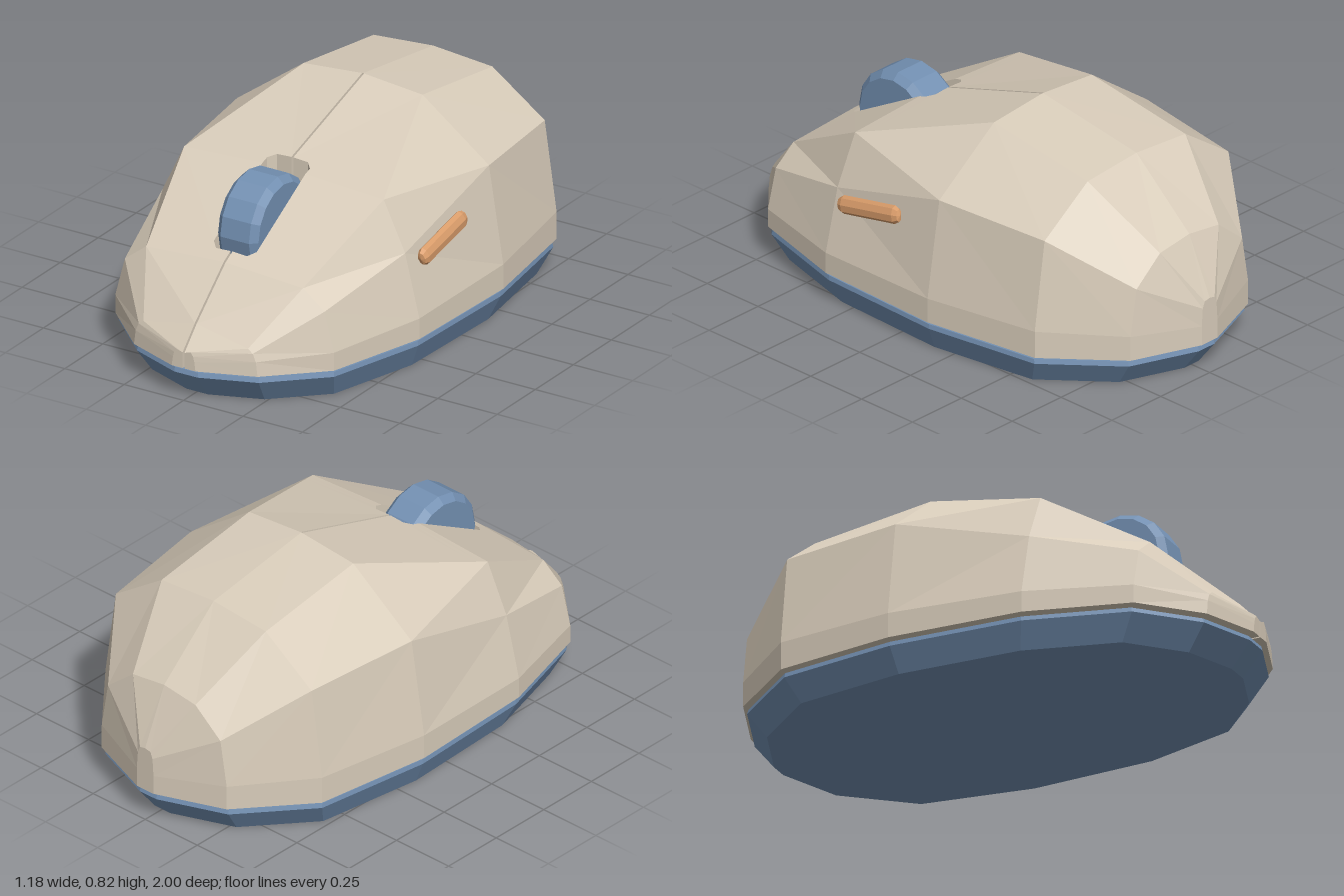
import * as THREE from 'three';

const paint = (name, color, side = THREE.FrontSide) => {
  const m = new THREE.MeshStandardMaterial({ color, side, flatShading: true });
  m.name = name;
  return m;
};

// Collects triangles, optionally with their mirror image in x.
function builder(mirror) {
  const pos = [];
  const tri = (a, b, c) => {
    pos.push(...a, ...b, ...c);
    if (mirror) for (const p of [a, c, b]) pos.push(-p[0], p[1], p[2]);
  };
  const quad = (a, b, c, d) => { tri(a, b, d); tri(b, c, d); };
  const geometry = () => {
    const g = new THREE.BufferGeometry();
    g.setAttribute('position', new THREE.Float32BufferAttribute(pos, 3));
    g.computeVertexNormals();
    return g;
  };
  return { tri, quad, geometry };
}

const FLOOR = 0.125;
const GAP = 0.004;

// Half cross-sections, rear to front: z, ridge height, then shoulder, middle and low points, foot width
const SECTIONS = [
  { z: -1.0, top: 0.30, pts: [[0.025, 0.295], [0.035, 0.27], [0.04, 0.2]], w: 0.04 },
  { z: -0.9, top: 0.52, pts: [[0.15, 0.5], [0.27, 0.4], [0.3, 0.22]], w: 0.3 },
  { z: -0.64, top: 0.75, pts: [[0.25, 0.73], [0.47, 0.575], [0.52, 0.23]], w: 0.52 },
  { z: -0.18, top: 0.82, pts: [[0.25, 0.798], [0.53, 0.592], [0.59, 0.22]], w: 0.59 },
  { z: 0.34, top: 0.655, pts: [[0.42, 0.632], [0.51, 0.445], [0.57, 0.205]], w: 0.57 },
  { z: 0.73, top: 0.435, pts: [[0.33, 0.415], [0.42, 0.345], [0.46, 0.195]], w: 0.46 },
  { z: 0.92, top: 0.27, pts: [[0.22, 0.225], [0.24, 0.21], [0.253, 0.18]], w: 0.26 },
  { z: 1.0, top: 0.185, pts: [[0.03, 0.195], [0.04, 0.18], [0.045, 0.16]], w: 0.05 },
];

// Inner edge of each top half (z, x): ridge, button gap, wheel slot, gap
const INNER = [
  [-1, 0], [-0.9, 0], [-0.64, 0], [-0.18, 0], [-0.18, GAP], [0.285, GAP], [0.285, 0.065], [0.31, 0.09],
  [0.34, 0.09], [0.66, 0.09], [0.685, 0.065], [0.685, GAP], [0.73, GAP], [0.92, GAP], [1, GAP],
];

// Ridge height, shoulder and foot width at any z
function sectionAt(z) {
  let i = 0;
  while (i < SECTIONS.length - 2 && z > SECTIONS[i + 1].z) i++;
  const a = SECTIONS[i], b = SECTIONS[i + 1], t = (z - a.z) / (b.z - a.z);
  const mix = (p, q) => p + (q - p) * t;
  return {
    top: mix(a.top, b.top), w: mix(a.w, b.w),
    sx: mix(a.pts[0][0], b.pts[0][0]), sy: mix(a.pts[0][1], b.pts[0][1]),
  };
}

function shellGeometry() {
  const { tri, quad, geometry } = builder(true);
  // sides, from shoulder to foot
  const rows = SECTIONS.map(s => [...s.pts, [s.w, FLOOR]].map(([x, y]) => [x, y, s.z]));
  for (let i = 0; i < rows.length - 1; i++)
    for (let j = 0; j < 3; j++)
      quad(rows[i][j], rows[i + 1][j], rows[i + 1][j + 1], rows[i][j + 1]);
  // top, slot walls and underside
  const edge = INNER.map(([z, x]) => {
    const s = sectionAt(z);
    return {
      inner: [x, s.top + (s.sy - s.top) * x / s.sx, z], shoulder: [s.sx, s.sy, z],
      under: [x, FLOOR, z], foot: [s.w, FLOOR, z],
    };
  });
  for (let i = 0; i < edge.length - 1; i++) {
    const a = edge[i], b = edge[i + 1];
    quad(a.inner, b.inner, b.shoulder, a.shoulder);
    quad(a.under, a.foot, b.foot, b.under);
    if (i >= 3) quad(a.inner, a.under, b.under, b.inner);
  }
  // rear and front ends
  const cap = (e, row, flip) => {
    const loop = [e.inner, ...row];
    for (let k = 0; k < loop.length - 1; k++)
      flip ? tri(e.under, loop[k], loop[k + 1]) : tri(e.under, loop[k + 1], loop[k]);
  };
  cap(edge[0], rows[0], true);
  cap(edge[edge.length - 1], rows[rows.length - 1], false);
  return geometry();
}

function baseGeometry() {
  const { tri, quad, geometry } = builder(false);
  const half = SECTIONS.map(s => [s.w, s.z]);
  const outline = [...half, ...half.slice().reverse().map(([x, z]) => [-x, z])];
  const ring = (k, y) => outline.map(([x, z]) => [x * k, y, z * k]);
  const rings = [ring(0.91, 0), ring(0.985, 0.095), ring(0.98, 0.112)];
  const n = outline.length;
  for (let i = 0; i < n; i++) {
    const j = (i + 1) % n;
    for (let r = 0; r < 2; r++) quad(rings[r][i], rings[r + 1][i], rings[r + 1][j], rings[r][j]);
    tri([0, 0, 0], rings[0][i], rings[0][j]);
    tri([0, 0.112, 0], rings[2][j], rings[2][i]);
  }
  return geometry();
}

// Solid of revolution from [radius, height] points
const lathe = (points, sides) =>
  new THREE.LatheGeometry(points.map(([r, y]) => new THREE.Vector2(r, y)), sides);

export function createModel() {
  const beige = paint('warm beige', 0xd8ccba, THREE.DoubleSide);
  const blue = paint('slate blue', 0x7390b2);
  const orange = paint('copper orange', 0xd99c6a);
  const model = new THREE.Group();
  model.name = 'computerMouse';
  const add = (name, geometry, material) => {
    const mesh = new THREE.Mesh(geometry, material);
    mesh.name = name;
    model.add(mesh);
    return mesh;
  };

  add('shell', shellGeometry(), beige);
  add('base', baseGeometry(), blue);

  // strip under the button gap and wheel slot
  add('slotFloor', new THREE.BoxGeometry(0.19, 0.01, 1.03), blue).position.set(0, 0.115, 0.42);

  // scroll wheel with bevelled rims
  const wheel = add('scrollWheel', lathe(
    [[0, -0.085], [0.165, -0.085], [0.19, -0.06], [0.19, 0.06], [0.165, 0.085], [0, 0.085]], 16), blue);
  wheel.rotation.z = Math.PI / 2;
  wheel.position.set(0, 0.495, 0.475);

  // thumb button on the left side
  const thumb = lathe([[0, -0.15], [0.7, -0.145], [1, -0.125], [1, 0.125], [0.7, 0.145], [0, 0.15]], 8);
  thumb.rotateX(Math.PI / 2).scale(0.022, 0.034, 1);
  const button = add('thumbButton', thumb, orange);
  button.rotation.set(0.19, 0.02, 0.22);
  button.position.set(0.545, 0.44, 0.148);

  return model;
}
